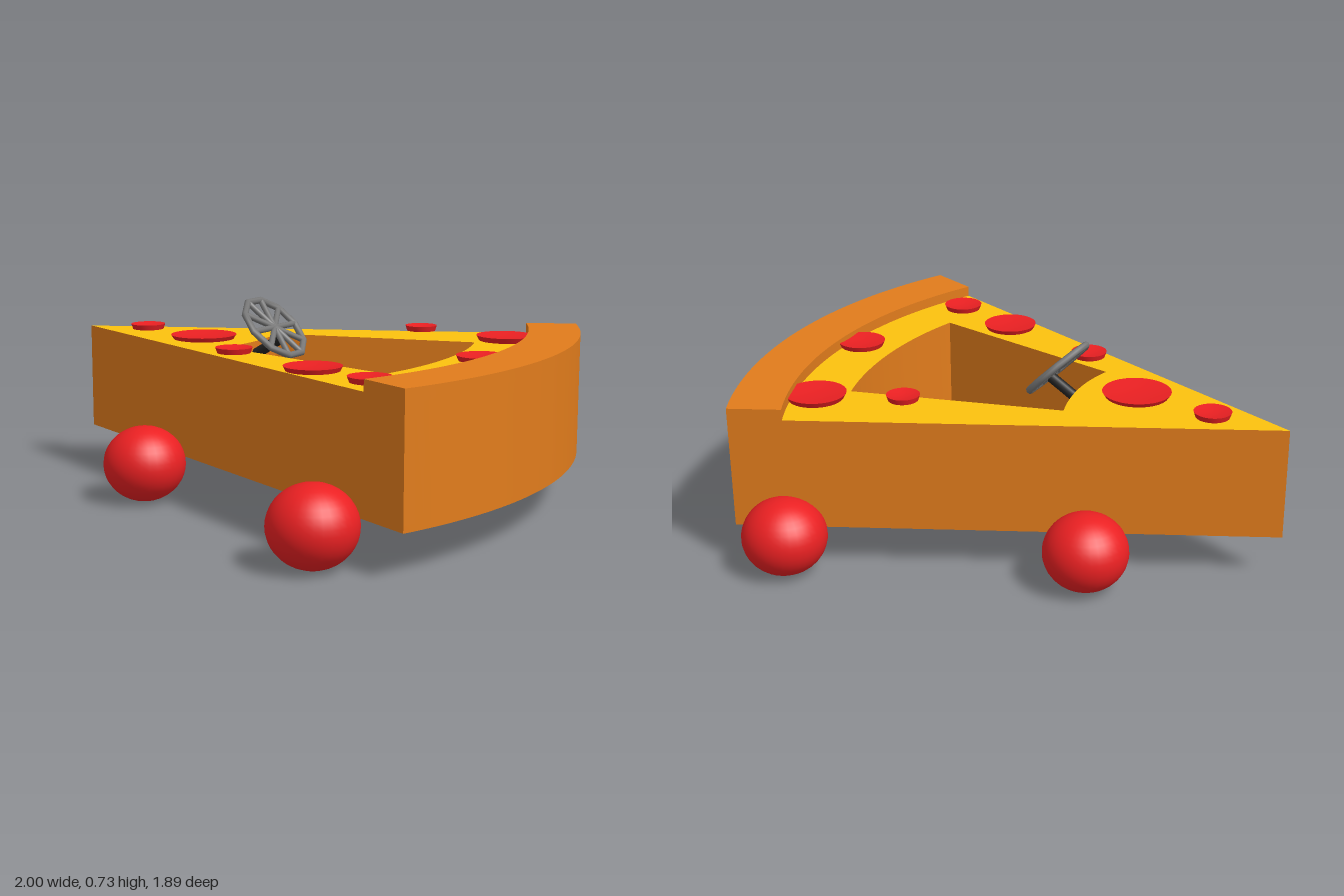
import * as THREE from 'three';
import { toCreasedNormals } from 'three/addons/utils/BufferGeometryUtils.js';

const mat = (color) => new THREE.MeshStandardMaterial({ color });

// Common centre of the crust arcs, in plan (x, z)
const CENTRE = [-0.83, 0.105];

// Plan points along an arc about CENTRE, from point p to point q
function arc(p, q, n = 40) {
  const [cx, cz] = CENTRE;
  const polar = ([x, z]) => [Math.hypot(x - cx, z - cz), Math.atan2(z - cz, x - cx)];
  const [r0, a0] = polar(p);
  const [r1, a1] = polar(q);
  return Array.from({ length: n + 1 }, (_, i) => {
    const t = i / n, r = r0 + (r1 - r0) * t, a = a0 + (a1 - a0) * t;
    return [cx + r * Math.cos(a), cz + r * Math.sin(a)];
  });
}

const outline = (points) => points.map(([x, z]) => new THREE.Vector2(x, -z));

// Upright slab from a plan outline (front corner to back corner), with an
// optional hole that must wind the opposite way
function slab(name, points, y0, y1, material, hole) {
  const shape = new THREE.Shape(outline(points));
  if (hole) shape.holes.push(new THREE.Path(outline(hole)));
  let geometry = new THREE.ExtrudeGeometry(shape, { depth: y1 - y0, bevelEnabled: false });
  geometry.rotateX(-Math.PI / 2).translate(0, y0, 0);
  geometry = toCreasedNormals(geometry, 0.5);
  const mesh = new THREE.Mesh(geometry, material);
  mesh.name = name;
  return mesh;
}

// Round bar between two points
function bar(name, a, b, radius, material) {
  const from = new THREE.Vector3(...a), to = new THREE.Vector3(...b);
  const dir = to.clone().sub(from);
  const mesh = new THREE.Mesh(new THREE.CylinderGeometry(radius, radius, dir.length(), 12), material);
  mesh.position.copy(from).add(to).multiplyScalar(0.5);
  mesh.quaternion.setFromUnitVectors(new THREE.Vector3(0, 1, 0), dir.normalize());
  mesh.name = name;
  return mesh;
}

export function createModel() {
  const model = new THREE.Group();
  model.name = 'pizzaSliceCar';
  const crustMat = mat(0xe17c1c), cheeseMat = mat(0xfcc20e), redMat = mat(0xea2022);
  const steelMat = mat(0x777777), darkMat = mat(0x222222);

  // Wedge body with the open cockpit
  const outerArc = arc([0.87, 0.77], [0.743, -0.836]);
  const wedge = [[-1, 0.004], ...outerArc];
  const back = new THREE.QuadraticBezierCurve(
    new THREE.Vector2(-0.213, 0.19), new THREE.Vector2(-0.168, 0.005), new THREE.Vector2(-0.243, -0.21));
  const cockpit = [
    ...arc([0.512, -0.42], [0.577, 0.369], 24),
    ...back.getPoints(12).map((p) => [p.x, p.y]),
  ];
  model.add(slab('cockpitFloor', wedge, 0.156, 0.18, crustMat));
  model.add(slab('body', wedge, 0.18, 0.56, crustMat, cockpit));
  model.add(slab('cheese', wedge, 0.56, 0.565, [cheeseMat, crustMat], cockpit));

  // Raised crust rim
  const rim = [...outerArc, ...arc([0.57, -0.753], [0.682, 0.693])];
  model.add(slab('crustRim', rim, 0.565, 0.605, crustMat));

  // Pepperoni: flared discs with a dished top [x, z, radius, base height]
  const slices = [
    [-0.726, -0.02, 0.067, 0.571], [-0.408, 0.042, 0.125, 0.561], [-0.088, 0.297, 0.067, 0.57],
    [0.272, -0.443, 0.06, 0.59], [0.588, -0.528, 0.11, 0.566], [0.738, -0.02, 0.09, 0.57],
    [0.338, 0.443, 0.102, 0.562], [0.617, 0.542, 0.075, 0.567],
  ];
  for (const [x, z, r, y] of slices) {
    const profile = [[0, 0], [0.9 * r, 0], [r, 0.02], [0.93 * r, 0.019], [0.5 * r, 0.013], [0, 0.011]]
      .map(([px, py]) => new THREE.Vector2(px, py));
    const slice = new THREE.Mesh(toCreasedNormals(new THREE.LatheGeometry(profile, 32), 0.6), redMat);
    slice.position.set(x, y, z);
    slice.name = 'pepperoni';
    model.add(slice);
  }

  // Ball wheels on two axles, joined by a thin rod
  for (const [x, z, name] of [[-0.428, 0.392, 'front'], [0.56, 0.795, 'rear']]) {
    for (const side of [-1, 1]) {
      const wheel = new THREE.Mesh(new THREE.SphereGeometry(1, 32, 20), redMat);
      wheel.scale.set(0.152, 0.14, 0.152);
      wheel.position.set(x, 0.14, side * z);
      wheel.name = name + 'Wheel';
      model.add(wheel);
    }
    model.add(bar(name + 'Axle', [x, 0.145, -z], [x, 0.145, z], 0.013, steelMat));
  }
  model.add(bar('chassisRod', [-0.428, 0.145, 0], [0.56, 0.145, 0], 0.009, steelMat));

  // Tilted steering wheel with spokes, and its column
  const steering = new THREE.Group();
  steering.name = 'steeringWheel';
  const SPOKES = 10, R = 0.137;
  const ring = new THREE.Mesh(new THREE.TorusGeometry(R, 0.013, 8, SPOKES), steelMat);
  ring.name = 'steeringRing';
  steering.add(ring);
  for (let i = 0; i < SPOKES; i++) {
    const a = (i / SPOKES) * Math.PI * 2;
    steering.add(bar('spoke', [0, 0, 0], [R * Math.cos(a), R * Math.sin(a), 0], 0.011, steelMat));
  }
  steering.lookAt(1, 1, 0);
  steering.position.set(-0.107, 0.625, 0.005);
  model.add(steering);
  model.add(bar('steeringColumn', [-0.08, 0.585, 0.005], [-0.215, 0.505, 0.005], 0.02, darkMat));

  return model;
}
